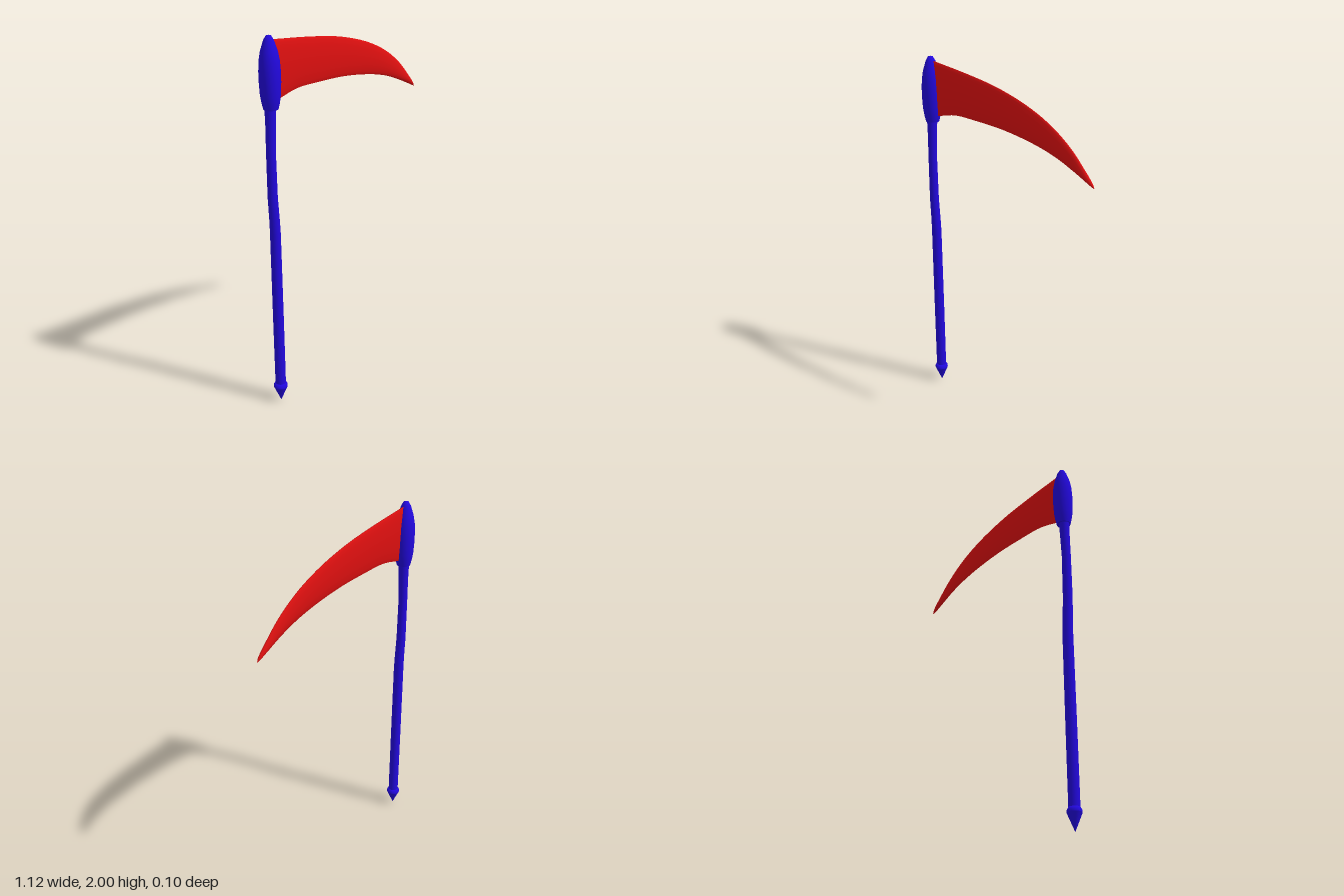
import * as THREE from 'three';

const BLUE = new THREE.MeshStandardMaterial({ color: 0x2208dd });
const RED = new THREE.MeshStandardMaterial({ color: 0xe01010, side: THREE.DoubleSide });
const AXIS_X = -0.51;

function part(name, geometry, material) {
  const mesh = new THREE.Mesh(geometry, material);
  mesh.name = name;
  return mesh;
}

// Skin a list of closed rings that all have the same number of points
function loft(rings) {
  const n = rings[0].length;
  const index = [];
  for (let i = 0; i < rings.length - 1; i++) {
    for (let j = 0; j < n; j++) {
      const a = i * n + j, b = i * n + (j + 1) % n;
      index.push(a, a + n, b, b, a + n, b + n);
    }
  }
  const geometry = new THREE.BufferGeometry();
  geometry.setAttribute('position', new THREE.Float32BufferAttribute(rings.flat(2), 3));
  geometry.setIndex(index);
  geometry.computeVertexNormals();
  return geometry;
}

// Turned part around the shaft axis, profile as [radius, y]
function turned(name, profile) {
  const points = profile.map(([r, y]) => new THREE.Vector2(r, y));
  const mesh = part(name, new THREE.LatheGeometry(points, 32), BLUE);
  mesh.position.x = AXIS_X;
  return mesh;
}

// Slightly bent wooden shaft: [y, centre x, radius]
function createShaft() {
  const stations = [
    [0.1, -0.51, 0.028], [0.5, -0.51, 0.028], [1.0, -0.51, 0.027], [1.07, -0.512, 0.026],
    [1.2, -0.519, 0.025], [1.45, -0.52, 0.0235], [1.56, -0.516, 0.025], [1.7, -0.513, 0.029],
  ];
  const sides = 20;
  const rings = stations.map(([y, x, r]) => Array.from({ length: sides }, (_, j) => {
    const a = -j / sides * Math.PI * 2;
    return [x + r * Math.cos(a), y, -r * Math.sin(a)];
  }));
  return part('shaft', loft(rings), BLUE);
}

// Curved blade: lens-shaped sections between the spine and the cutting edge
function createBlade() {
  const curve = (points) => new THREE.CatmullRomCurve3(points.map(([x, y]) => new THREE.Vector3(x, y, 0)));
  const spine = curve([[-0.5, 1.977], [-0.46, 1.972], [-0.25, 1.946], [-0.05, 1.912], [0.15, 1.853],
    [0.3, 1.782], [0.42, 1.695], [0.5, 1.612], [0.552, 1.55], [0.56, 1.535]]);
  const edge = curve([[-0.5, 1.675], [-0.46, 1.686], [-0.34, 1.713], [-0.2, 1.713], [0, 1.702],
    [0.2, 1.67], [0.33, 1.634], [0.44, 1.588], [0.53, 1.545], [0.56, 1.53]]);
  // Half section: [fraction from edge to spine, half thickness]
  const half = [[0, 0.001], [0.1, 0.006], [0.3, 0.011], [0.55, 0.013], [0.8, 0.011], [0.94, 0.006], [1, 0.002]];
  const section = [...half, ...half.slice().reverse().map(([v, z]) => [v, -z])];
  const steps = 45;
  const rings = [];
  for (let i = 0; i <= steps; i++) {
    const t = i / steps;
    const low = edge.getPoint(t), high = spine.getPoint(t);
    const thin = t < 0.82 ? 1 : 1 - 0.9 * (t - 0.82) / 0.18;
    rings.push(section.map(([v, z]) => {
      const p = low.clone().lerp(high, v);
      return [p.x, p.y, z * thin];
    }));
  }
  // Flip the winding so the faces look outward
  return part('blade', loft(rings.map((ring) => ring.reverse())), RED);
}

export function createModel() {
  const model = new THREE.Group();
  model.name = 'scythe';
  model.add(createShaft(), createBlade());

  // Bulging socket that holds the blade
  model.add(turned('head', [
    [0, 1.65], [0.036, 1.65], [0.036, 1.65], [0.043, 1.68], [0.049, 1.72], [0.052, 1.78], [0.052, 1.83],
    [0.049, 1.88], [0.041, 1.925], [0.025, 1.975], [0.013, 1.996], [0, 2],
  ]));

  // Pointed foot
  model.add(turned('footSpike', [
    [0, 0], [0.037, 0.09], [0.037, 0.09], [0.037, 0.1], [0.028, 0.115], [0, 0.115],
  ]));
  return model;
}
